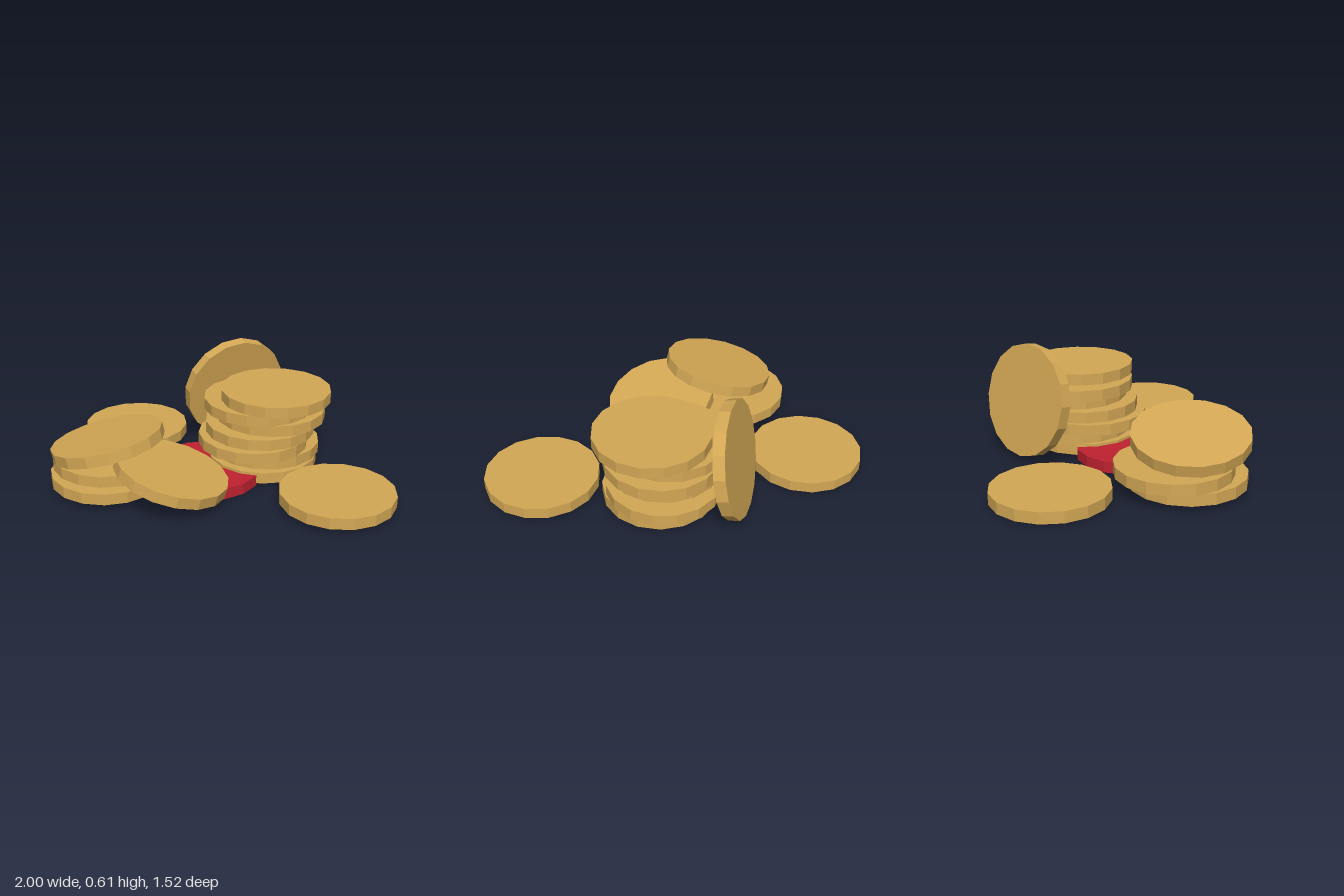
import * as THREE from 'three';

const RADIUS = 0.3, THICK = 0.06, SIDES = 16;
const HALF_STEP = Math.PI / SIDES;

export function createModel() {
  const gold = new THREE.MeshStandardMaterial({ color: 0xd4a855, flatShading: true });
  gold.name = 'gold';
  const red = new THREE.MeshStandardMaterial({ color: 0xc02230, flatShading: true });
  red.name = 'red';

  const disc = new THREE.CylinderGeometry(RADIUS, RADIUS, THICK, SIDES);
  const up = new THREE.Vector3(0, 1, 0);

  // One coin: centre, spin about its own axis, and the direction its face points
  function coin(name, centre, spin = 0, facing = [0, 1, 0], material = gold) {
    const mesh = new THREE.Mesh(disc, material);
    mesh.name = name;
    mesh.position.set(...centre);
    mesh.quaternion.setFromUnitVectors(up, new THREE.Vector3(...facing).normalize());
    mesh.rotateY(spin);
    return mesh;
  }

  const model = new THREE.Group();
  model.name = 'coinPile';

  // Red chip in the middle and loose coins at either side
  model.add(
    coin('redChip', [0, 0.03, 0], 0, [0, 1, 0], red),
    coin('looseCoinRight', [-0.7, 0.035, -0.07]),
    coin('looseCoinLeft', [0.705, 0.06, -0.27], HALF_STEP),
  );

  // Tall uneven stack at the back: x, z, spin per coin from the bottom up
  const tallStack = new THREE.Group();
  tallStack.name = 'tallStack';
  [
    [0.09, -0.345, 0],
    [0.07, -0.385, HALF_STEP],
    [0.07, -0.29, 0.1],
    [0.07, -0.34, HALF_STEP],
    [0.08, -0.415, 0],
    [0.04, -0.355, HALF_STEP],
    [0.128, -0.4, HALF_STEP],
  ].forEach(([x, z, spin], i) =>
    tallStack.add(coin('stackCoin' + (i + 1), [x, 0.045 + i * 0.0617, z], spin)));
  model.add(tallStack);

  // Short stack at the front with a tilted coin on top
  const shortStack = new THREE.Group();
  shortStack.name = 'shortStack';
  shortStack.add(
    coin('lowerCoin', [-0.27, 0.06, 0.455], 0.1),
    coin('middleCoin', [-0.325, 0.12, 0.405], 0),
    coin('tiltedTopCoin', [-0.25, 0.26, 0.46], HALF_STEP, [-0.215, 1, 0.105]),
  );
  model.add(shortStack);

  // Coin sliding off the short stack, and coin leaning on the tall stack
  model.add(
    coin('slidingCoin', [0.08, 0.145, 0.305], HALF_STEP, [0.2, 1, -0.2]),
    coin('leaningCoin', [-0.28, 0.315, -0.472], HALF_STEP, [-0.94, 0.19, -0.28]),
  );
  return model;
}
